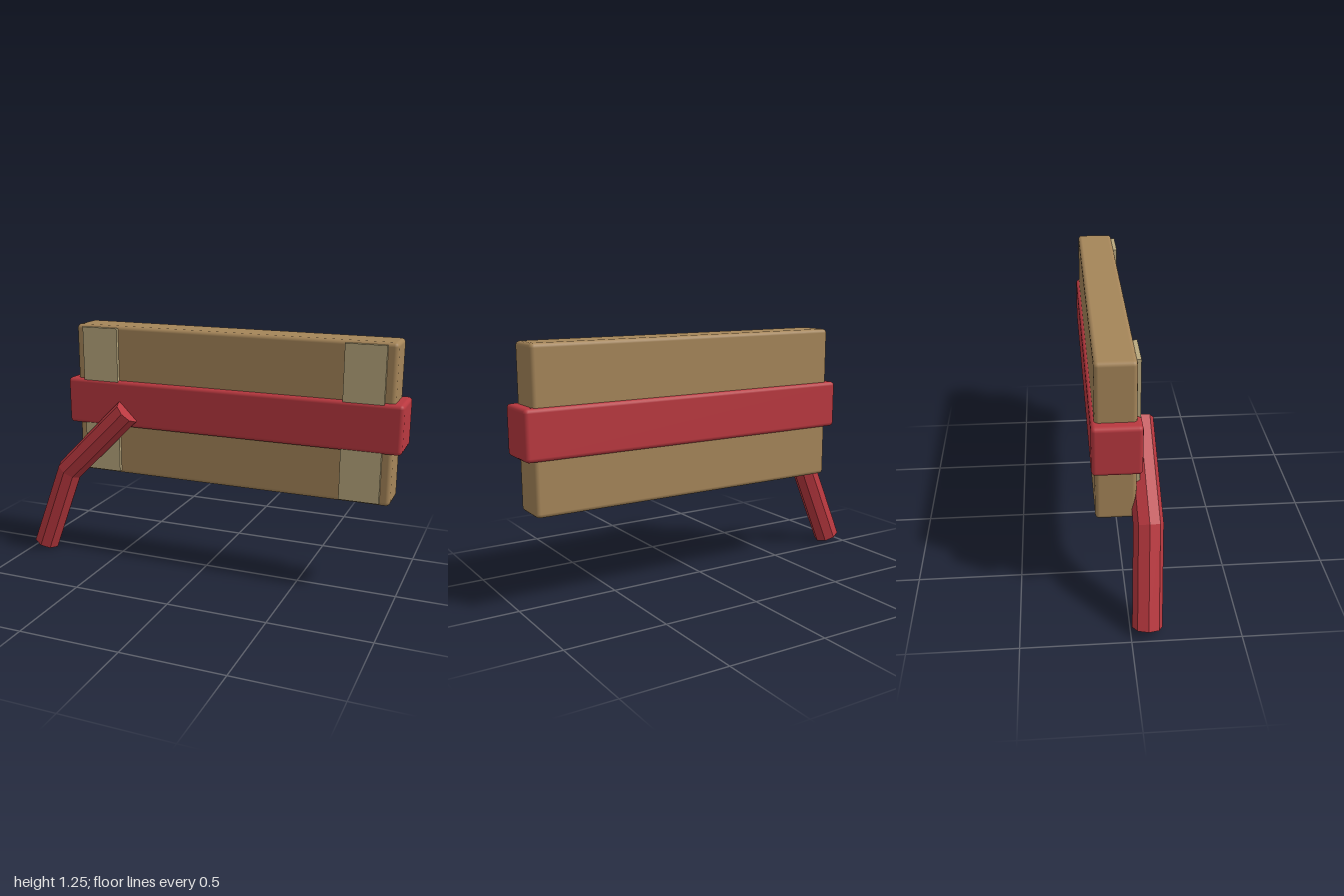
import * as THREE from 'three';
import { RoundedBoxGeometry } from 'three/addons/geometries/RoundedBoxGeometry.js';

const material = (name, color, extra = {}) => {
  const m = new THREE.MeshStandardMaterial({ color, ...extra });
  m.name = name;
  return m;
};

// Faceted bar: polygon rings mitred along a path, closed by end caps.
function facetedBar(points, radius, sides) {
  const rings = points.map((p, i) => {
    const dirIn = p.clone().sub(points[Math.max(i - 1, 0)]).normalize();
    const dirOut = points[Math.min(i + 1, points.length - 1)].clone().sub(p).normalize();
    const tangent = dirIn.add(dirOut).normalize();
    const across = new THREE.Vector3(0, 0, 1).cross(tangent).normalize();
    const depth = tangent.clone().cross(across);
    return Array.from({ length: sides }, (_, k) => {
      const a = (k / sides) * Math.PI * 2;
      return p.clone()
        .addScaledVector(across, radius * Math.cos(a))
        .addScaledVector(depth, radius * Math.sin(a));
    });
  });
  const pos = [];
  const tri = (...vs) => vs.forEach(v => pos.push(v.x, v.y, v.z));
  const last = points.length - 1;
  for (let k = 0; k < sides; k++) {
    const n = (k + 1) % sides;
    for (let i = 0; i < last; i++) {
      tri(rings[i][k], rings[i][n], rings[i + 1][n]);
      tri(rings[i][k], rings[i + 1][n], rings[i + 1][k]);
    }
    tri(points[0], rings[0][n], rings[0][k]);
    tri(points[last], rings[last][k], rings[last][n]);
  }
  const geometry = new THREE.BufferGeometry();
  geometry.setAttribute('position', new THREE.Float32BufferAttribute(pos, 3));
  geometry.computeVertexNormals();
  return geometry;
}

export function createModel() {
  const model = new THREE.Group();
  model.name = 'strappedBoard';

  const tan = material('boardTan', 0xa58559);
  const pale = material('stripBeige', 0xbaa97e);
  const red = material('strapRed', 0xb9383f);

  const add = (name, geometry, mat, x = 0, y = 0, z = 0) => {
    const mesh = new THREE.Mesh(geometry, mat);
    mesh.name = name;
    mesh.position.set(x, y, z);
    model.add(mesh);
  };

  // Thick board with softened edges
  add('board', new RoundedBoxGeometry(1.66, 0.78, 0.185, 2, 0.02), tan, 0.12, 0.865, -0.05);

  // Upright strips on the front face
  add('rightStrip', new THREE.BoxGeometry(0.195, 0.755, 0.02), pale, -0.567, 0.867, 0.05);
  add('leftStrip', new THREE.BoxGeometry(0.195, 0.755, 0.02), pale, 0.805, 0.867, 0.05);

  // Strap wrapped around the middle
  add('strap', new RoundedBoxGeometry(1.755, 0.24, 0.225, 2, 0.02), red, 0.118, 0.855, -0.047);

  // Bent loose end hanging from the strap
  const path = [[-0.935, 0.03, 0.076], [-0.757, 0.475, 0.092], [-0.41, 0.822, 0.076]]
    .map(p => new THREE.Vector3(...p));
  add('looseEnd', facetedBar(path, 0.069, 8), red);

  return model;
}
